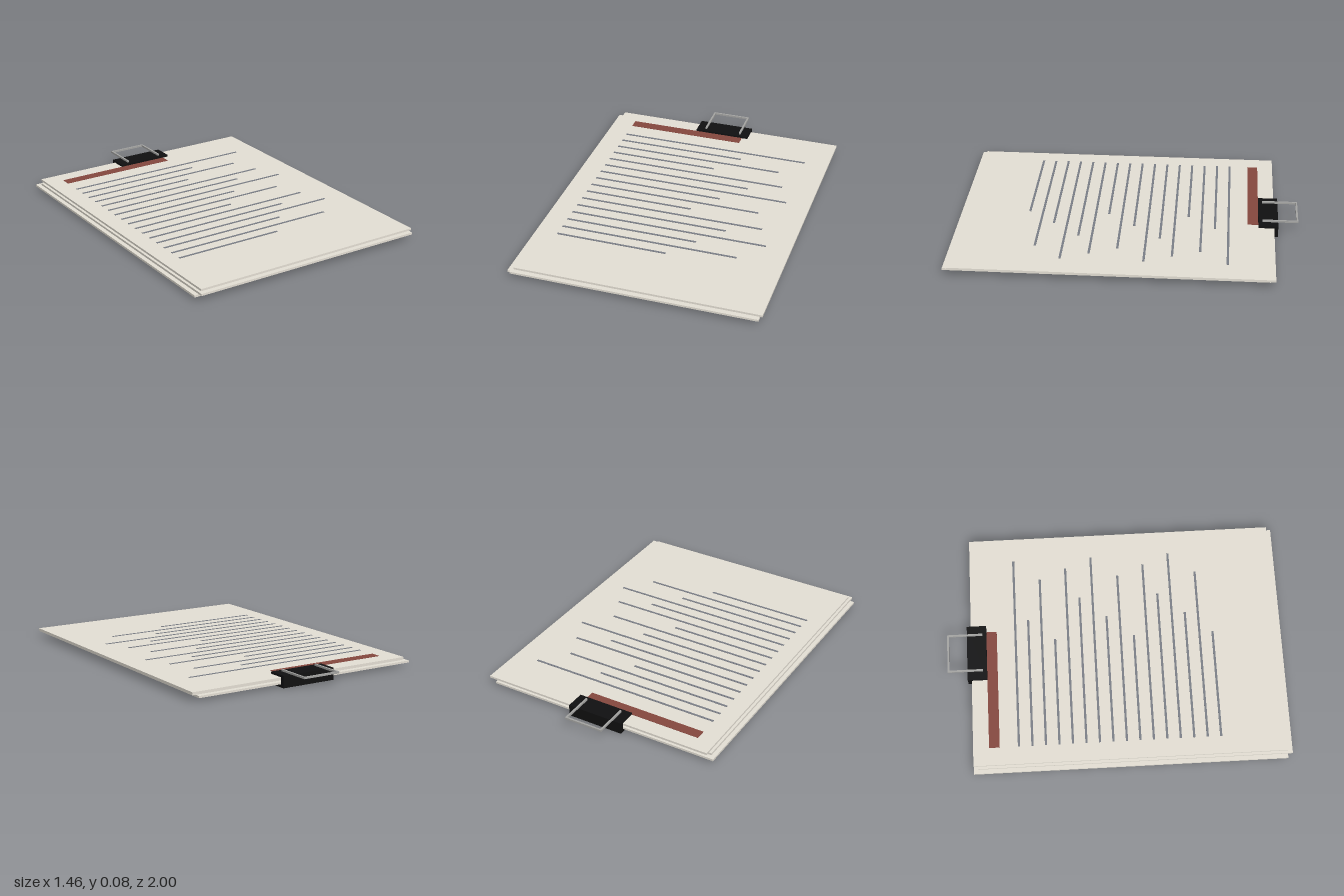
import * as THREE from 'three';

const mat = (name, color) => {
  const m = new THREE.MeshStandardMaterial({ color });
  m.name = name;
  return m;
};

export function createModel() {
  const paper = mat('paper', 0xe6e1d6);
  const ink = mat('greyInk', 0x7c8088);
  const red = mat('redHeading', 0x86483f);
  const black = mat('blackClip', 0x101011);
  const steel = mat('steelWire', 0xa6a6a4);

  const model = new THREE.Group();
  model.name = 'clippedPapers';

  // Box given by its extents along each axis
  const slab = (name, material, [x0, x1], [y0, y1], [z0, z1], parent = model) => {
    const mesh = new THREE.Mesh(new THREE.BoxGeometry(x1 - x0, y1 - y0, z1 - z0), material);
    mesh.position.set((x0 + x1) / 2, (y0 + y1) / 2, (z0 + z1) / 2);
    mesh.name = name;
    parent.add(mesh);
  };

  // Three slightly shifted sheets: left edge, bottom, back edge
  const sheets = [[-0.735, 0.018, -0.86], [-0.71, 0.031, -0.833], [-0.695, 0.044, -0.86]];
  sheets.forEach(([x, y, z], i) =>
    slab(`sheet${i + 1}`, paper, [x, x + 1.425], [y, y + 0.012], [z, z + 1.83]));

  // Printed heading and text lines
  const top = [0.056, 0.058];
  slab('headingBar', red, [-0.59, 0.13], top, [-0.767, -0.705]);
  const ends = [0.585, 0.195, 0.457, 0.065, 0.52, 0.325];
  for (let i = 0; i < 16; i++) {
    const z = -0.593 + i * 0.0787;
    slab(`textLine${i + 1}`, ink, [-0.59, ends[i % 6]], top, [z - 0.0065, z + 0.0065]);
  }

  // Binder clip: two jaws and the spine behind the sheets
  const clip = new THREE.Group();
  clip.name = 'binderClip';
  model.add(clip);
  const width = [-0.172, 0.167];
  slab('upperJaw', black, width, [0.057, 0.069], [-0.883, -0.767], clip);
  slab('lowerJaw', black, width, [0, 0.013], [-0.883, -0.767], clip);
  slab('spine', black, width, [0.013, 0.057], [-0.883, -0.861], clip);

  // Wire handle lying back over the upper jaw
  const wireY = [0.069, 0.08];
  slab('handleArmLeft', steel, [0.104, 0.115], wireY, [-0.989, -0.79], clip);
  slab('handleArmRight', steel, [-0.12, -0.109], wireY, [-0.989, -0.79], clip);
  slab('handleBar', steel, [-0.12, 0.115], wireY, [-1, -0.989], clip);

  return model;
}
